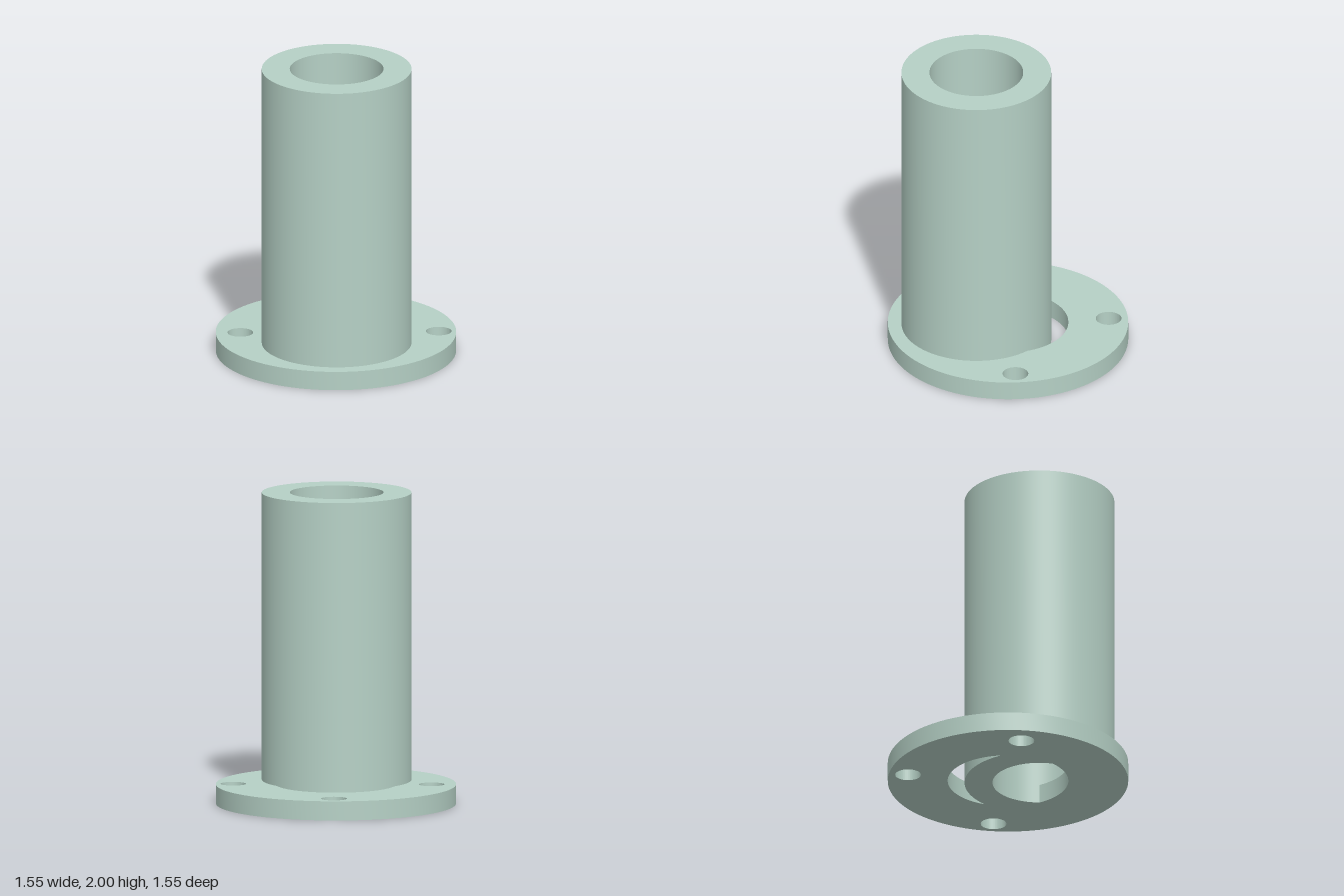
import * as THREE from 'three';
import { toCreasedNormals } from 'three/addons/utils/BufferGeometryUtils.js';

const material = new THREE.MeshStandardMaterial({ color: 0xb5d0c5 });

// Upright disc of given height standing on y = 0; holes are [x, z, radius]
function piercedDisc(name, x, z, radius, height, holes) {
  const shape = new THREE.Shape().absarc(x, z, radius, 0, Math.PI * 2, false);
  for (const [hx, hz, r] of holes) {
    shape.holes.push(new THREE.Path().absarc(hx, hz, r, 0, Math.PI * 2, true));
  }
  const geometry = new THREE.ExtrudeGeometry(shape, {
    depth: height, bevelEnabled: false, curveSegments: 72,
  });
  geometry.rotateX(Math.PI / 2); // shape y becomes z
  geometry.translate(0, height, 0);
  const mesh = new THREE.Mesh(toCreasedNormals(geometry, Math.PI / 6), material);
  mesh.name = name;
  return mesh;
}

export function createModel() {
  const model = new THREE.Group();
  model.name = 'flangedTube';

  // Base flange: central bore and three bolt holes
  model.add(piercedDisc('flange', 0, 0, 0.777, 0.125, [
    [0, 0, 0.39],
    [0, -0.652, 0.083],
    [-0.618, 0, 0.083],
    [0.664, 0, 0.083],
  ]));

  // Tall tube, set off-centre towards the front, reaching through the flange
  model.add(piercedDisc('tube', 0, 0.205, 0.484, 2, [[0, 0.205, 0.303]]));

  return model;
}
